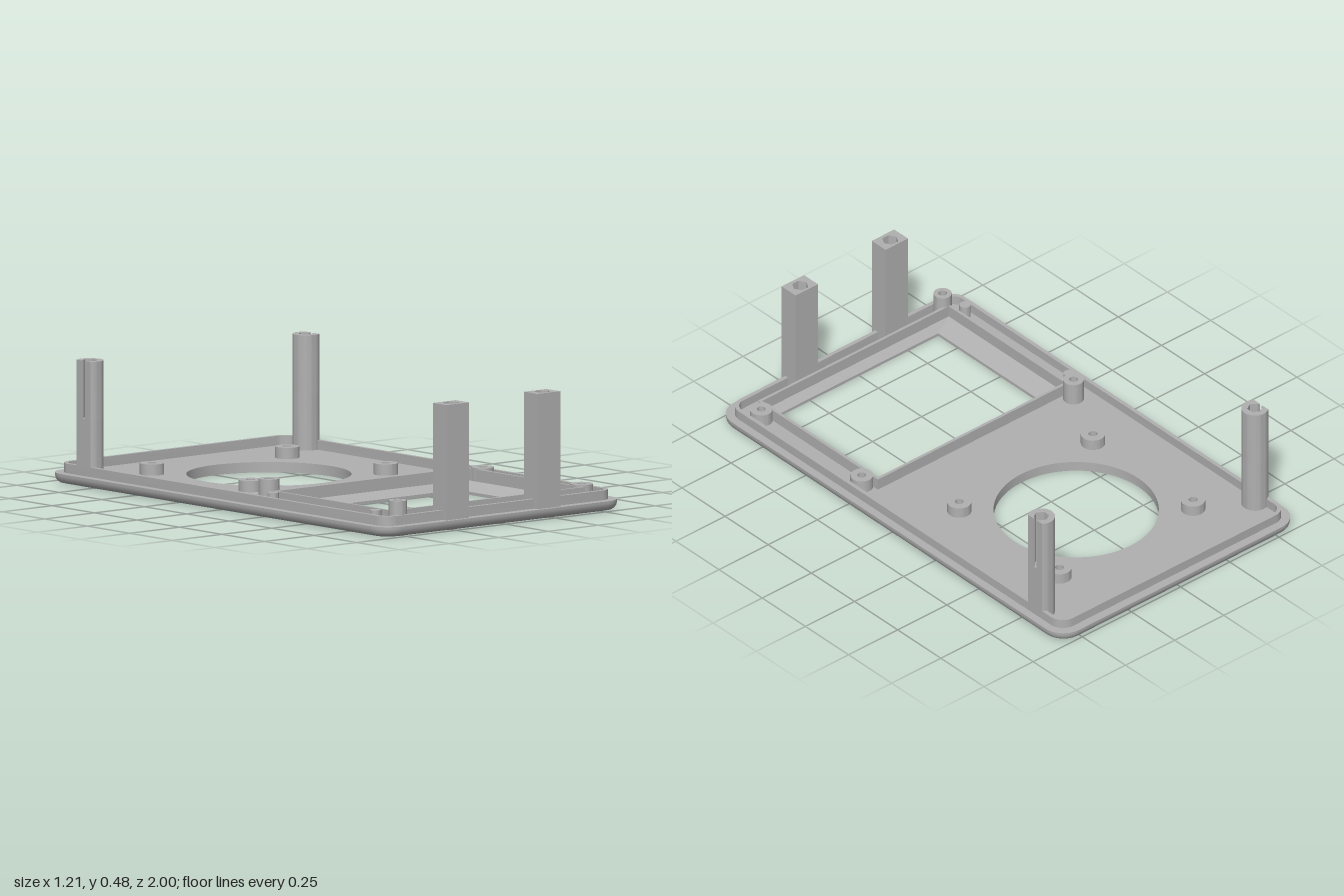
import * as THREE from 'three';
import { toCreasedNormals } from 'three/addons/utils/BufferGeometryUtils.js';

const grey = new THREE.MeshStandardMaterial({ color: 0xb0b0b0 });
grey.name = 'plasticGrey';
const V = (x, y) => new THREE.Vector2(x, y);

// Rounded rectangle outline on the ground plane, stored as (x, -z)
function rect(cx, cz, hw, hd, r = 0, seg = 8) {
  const pts = [];
  const n = r > 0 ? seg : 0;
  [[1, 1], [-1, 1], [-1, -1], [1, -1]].forEach(([sx, sy], q) => {
    for (let i = 0; i <= n; i++) {
      const a = (q + (n ? i / n : 0)) * Math.PI / 2;
      pts.push(V(cx + sx * (hw - r) + r * Math.cos(a), -cz + sy * (hd - r) + r * Math.sin(a)));
    }
  });
  return pts;
}

function disc(cx, cz, r, n = 32, turn = 0) {
  return Array.from({ length: n }, (_, i) => {
    const a = turn + i / n * Math.PI * 2;
    return V(cx + r * Math.cos(a), -cz + r * Math.sin(a));
  });
}

// Vertical prism between two heights
function prism(outline, holes, y0, y1) {
  const shape = new THREE.Shape(outline);
  shape.holes = holes.map(h => new THREE.Path(h));
  const g = new THREE.ExtrudeGeometry(shape, { depth: y1 - y0, bevelEnabled: false });
  g.rotateX(-Math.PI / 2).translate(0, y0, 0);
  return toCreasedNormals(g, 0.6);
}

// Skin over a list of [outline, height] rings
function loft(rings) {
  const n = rings[0][0].length, pos = [], idx = [];
  rings.forEach(([pts, y]) => pts.forEach(p => pos.push(p.x, y, -p.y)));
  for (let i = 0; i < rings.length - 1; i++) {
    for (let j = 0; j < n; j++) {
      const a = i * n + j, b = i * n + (j + 1) % n;
      idx.push(a, b, b + n, a, b + n, a + n);
    }
  }
  const g = new THREE.BufferGeometry();
  g.setAttribute('position', new THREE.Float32BufferAttribute(pos, 3));
  g.setIndex(idx);
  return toCreasedNormals(g, 0.6);
}

export function createModel() {
  const model = new THREE.Group();
  const add = (name, geo) => {
    const m = new THREE.Mesh(geo, grey);
    m.name = name;
    model.add(m);
    return m;
  };
  const floor = 0.04, postTop = 0.485;
  const rearX = 0.543, rearZ = -0.812, frontX = 0.229, frontZ = 0.943;

  // Panel with speaker hole, window and screw holes
  const pocket = rect(-0.004, 0.5525, 0.474, 0.3355);
  const opening = rect(0, 0.555, 0.4, 0.305);
  const screws = [-1, 1].flatMap(s => [disc(s * rearX, rearZ, 0.02, 20), disc(s * frontX, frontZ, 0.02, 20)]);
  add('panel', prism(rect(0, 0, 0.577, 0.97, 0.06), [pocket, disc(0, -0.395, 0.316, 64), ...screws], 0, floor));

  // Rounded lower edge of the panel
  const edge = [[0.03, 0], [0.018, 0.003], [0.009, 0.009], [0.003, 0.018], [0, 0.03], [0, floor], [0.03, floor]];
  add('panelEdge', loft(edge.map(([d, y]) => [rect(0, 0, 0.607 - d, 1 - d, 0.09 - d), y])));

  // Sloped window surround
  add('windowBevel', loft([[pocket, floor], [opening, 0.012], [opening, 0], [pocket, 0]]));

  // Raised lip and window frame
  add('lip', prism(rect(0, 0, 0.575, 0.965, 0.06), [rect(0, 0, 0.559, 0.949, 0.045)], floor, 0.077));
  add('windowFrame', prism(rect(-0.004, 0.5525, 0.486, 0.3475), [pocket], floor, 0.087));

  // Rear posts: flat outer side, hex socket and slot above a round bore
  const flat = 0.032, r = 0.052, slot = 0.008;
  const a0 = Math.acos(flat / r);
  const arc = Array.from({ length: 33 }, (_, i) => {
    const a = a0 + (2 * Math.PI - 2 * a0) * i / 32;
    return V(r * Math.cos(a), r * Math.sin(a));
  });
  const socket = [-30, -90, -150, 150, 90, 30].map(d => {
    const a = d * Math.PI / 180;
    return V(0.03 * Math.cos(a), 0.03 * Math.sin(a));
  });
  const slotted = [...arc, V(flat, -slot), V(0.026, -slot), ...socket, V(0.026, slot), V(flat, slot)];
  for (const s of [-1, 1]) {
    const parts = [
      add('rearPostBase', prism(arc, [disc(0, 0, 0.02, 20)], floor, 0.26)),
      add('rearPostSocket', prism(slotted, [], 0.26, postTop)),
    ];
    for (const m of parts) {
      m.position.set(s * rearX, 0, rearZ);
      m.rotation.y = s < 0 ? Math.PI : 0;
    }
    // Front posts: square with hex socket
    const body = rect(s * frontX, 0.945, 0.057, 0.04);
    add('frontPostBase', prism(body, [disc(s * frontX, frontZ, 0.02, 20)], floor, 0.26));
    add('frontPostSocket', prism(body, [disc(s * frontX, frontZ, 0.032, 6)], 0.26, postTop));
  }

  // Bosses: x, z, radius, top, hole radius
  const bosses = [
    ...[-0.34, 0.34].flatMap(x => [-0.685, -0.105].map(z => ['speakerBoss', x, z, 0.047, 0.083, 0.017])),
    ['tallBoss', -0.478, 0.165, 0.04, 0.13, 0.017],
    ['tallBoss', -0.478, 0.923, 0.035, 0.13, 0.017],
    ['sideBoss', 0.513, 0.263, 0.044, 0.092, 0.017],
    ['sideBoss', 0.513, 0.845, 0.044, 0.092, 0.017],
  ];
  for (const [name, x, z, rad, top, hole] of bosses) {
    add(name, prism(disc(x, z, rad), [disc(x, z, hole, 20)], floor, top));
  }
  for (const z of [0.25, 0.853]) add('locatingPeg', prism(disc(-0.53, z, 0.022, 24), [], floor, 0.09));
  return model;
}
